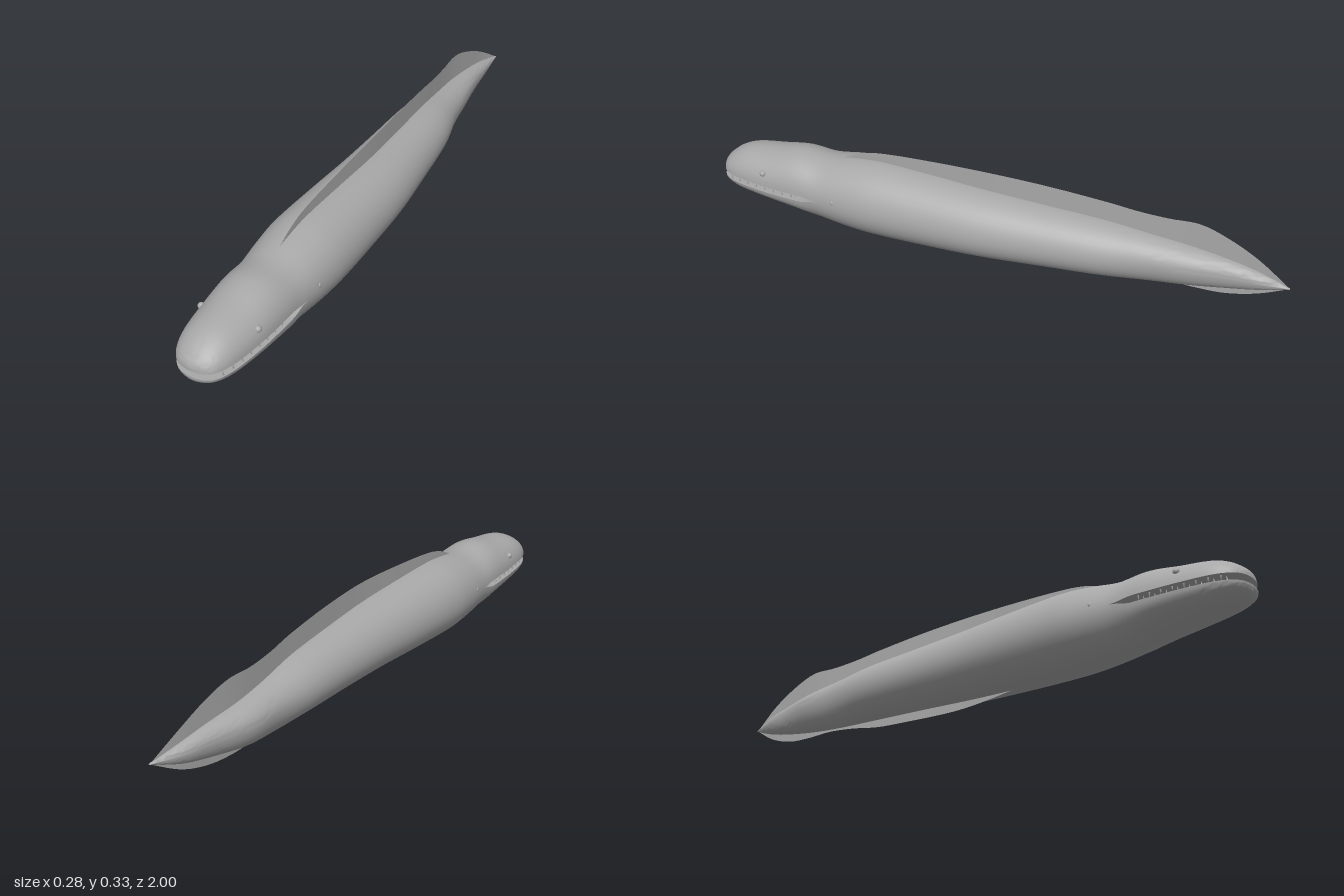
import * as THREE from 'three';
import { toCreasedNormals } from 'three/addons/utils/BufferGeometryUtils.js';

const AXIS = 0.14; // height of the body axis and the mouth line

// Outline stations: z, x of right side, x of left side, underside y, top y
const BODY = [
  [-1, -0.004, 0.002, 0.138, 0.142], [-0.9, -0.045, 0.009, 0.1, 0.165], [-0.8, -0.068, 0.016, 0.075, 0.182],
  [-0.67, -0.1, 0.035, 0.052, 0.197], [-0.55, -0.107, 0.053, 0.043, 0.212], [-0.4, -0.12, 0.09, 0.04, 0.235],
  [-0.2, -0.122, 0.115, 0.034, 0.25], [0, -0.126, 0.135, 0.025, 0.263], [0.2, -0.136, 0.14, 0.016, 0.273],
  [0.4, -0.143, 0.14, 0.011, 0.279], [0.5, -0.136, 0.132, 0.015, 0.27], [0.6, -0.125, 0.12, 0.026, 0.256],
  [0.7, -0.122, 0.116, 0.048, 0.263], [0.8, -0.115, 0.109, 0.063, 0.247], [0.9, -0.102, 0.094, 0.075, 0.232],
  [0.95, -0.086, 0.079, 0.086, 0.212], [0.98, -0.064, 0.06, 0.098, 0.19], [0.995, -0.038, 0.034, 0.108, 0.174],
  [1, -0.012, 0.01, 0.116, 0.162],
];
// Fin edges: z, y
const DORSAL = [[-1, 0.14], [-0.9, 0.205], [-0.8, 0.255], [-0.7, 0.286], [-0.6, 0.284], [-0.5, 0.291], [-0.4, 0.306],
  [-0.2, 0.325], [0, 0.333], [0.2, 0.327], [0.4, 0.312], [0.48, 0.292], [0.54, 0.263]];
const VENTRAL = [[-1, 0.14], [-0.9, 0.08], [-0.8, 0.047], [-0.7, 0.037], [-0.6, 0.038], [-0.5, 0.029], [-0.4, 0.013],
  [-0.3, 0.007], [-0.1, 0], [0, 0.004], [0.1, 0.013], [0.18, 0.022]];

// Smooth interpolation of every column of a station table
function sample(table, z) {
  let i = 0;
  while (i < table.length - 2 && table[i + 1][0] < z) i++;
  const a = table[i], b = table[i + 1];
  const p = table[Math.max(i - 1, 0)], q = table[Math.min(i + 2, table.length - 1)];
  const h = b[0] - a[0], t = THREE.MathUtils.clamp((z - a[0]) / h, 0, 1), t2 = t * t, t3 = t2 * t;
  return a.map((v, k) => {
    const m0 = (b[k] - p[k]) / (b[0] - p[0]) * h, m1 = (q[k] - v) / (q[0] - a[0]) * h;
    return (2 * t3 - 3 * t2 + 1) * v + (t3 - 2 * t2 + t) * m0 + (3 * t2 - 2 * t3) * b[k] + (t3 - t2) * m1;
  });
}

function station(z) {
  const [, r, l, bottom, top] = sample(BODY, z);
  return { cx: (l + r) / 2, rx: (l - r) / 2, bottom, top };
}

const mouthOpen = (z) => THREE.MathUtils.smoothstep(z, 0.59, 0.66);

function makeGeometry(pos, index) {
  const g = new THREE.BufferGeometry();
  g.setAttribute('position', new THREE.Float32BufferAttribute(pos, 3));
  g.setIndex(index);
  return g;
}

// Upper and lower halves of the body; they part in front to make the jaws
function bodyGeometry() {
  const rings = 110, arc = 20, n = arc + 1, pos = [], index = [];
  for (const side of [1, -1]) {
    const base = pos.length / 3;
    const open = [];
    for (let i = 0; i <= rings; i++) {
      const z = -Math.cos(Math.PI * i / rings);
      const s = station(z), g = mouthOpen(z);
      const lip = AXIS + g * (side > 0 ? 0.009 : -0.014);
      const height = side > 0 ? s.top - lip : lip - s.bottom;
      open.push(g > 0);
      for (let j = 0; j <= arc; j++) {
        const a = Math.PI * j / arc;
        pos.push(s.cx + side * s.rx * Math.cos(a), lip + side * height * Math.sin(a), z);
      }
    }
    for (let i = 0; i < rings; i++) {
      // The last strip closes each jaw with a flat palate or floor
      for (let j = 0; j < (open[i + 1] ? n : arc); j++) {
        const k = (j + 1) % n;
        const a = base + i * n + j, b = base + i * n + k;
        index.push(a, b, a + n, b, b + n, a + n);
      }
    }
    const tip = base + rings * n; // blunt snout end
    for (let j = 1; j < arc; j++) index.push(tip, tip + j, tip + j + 1);
  }
  return toCreasedNormals(makeGeometry(pos, index), 0.9);
}

// Thin fin following the bend of the body
function finGeometry(table, dorsal) {
  const steps = 60, pos = [], index = [];
  const z0 = table[0][0], z1 = table[table.length - 1][0];
  for (let i = 0; i <= steps; i++) {
    const z = z0 + (z1 - z0) * i / steps, s = station(z);
    const root = dorsal ? Math.max(AXIS, s.top - 0.02) : Math.min(AXIS, s.bottom + 0.02);
    pos.push(s.cx, root, z, s.cx, sample(table, z)[1], z);
    if (i < steps) index.push(2 * i, 2 * i + 1, 2 * i + 2, 2 * i + 1, 2 * i + 3, 2 * i + 2);
  }
  const g = makeGeometry(pos, index);
  g.computeVertexNormals();
  return g;
}

export function createModel() {
  const group = new THREE.Group();
  const skin = new THREE.MeshStandardMaterial({ color: 0xa8a8a8, side: THREE.DoubleSide });
  skin.name = 'grey skin';
  const add = (name, geometry, x = 0, y = 0, z = 0) => {
    const mesh = new THREE.Mesh(geometry, skin);
    mesh.name = name;
    mesh.position.set(x, y, z);
    group.add(mesh);
    return mesh;
  };

  add('body', bodyGeometry());
  add('dorsalFin', finGeometry(DORSAL, true));
  add('ventralFin', finGeometry(VENTRAL, false));

  const eye = new THREE.SphereGeometry(0.011, 16, 12);
  const gill = new THREE.SphereGeometry(0.008, 12, 8);
  const tooth = new THREE.ConeGeometry(0.004, 0.02, 6);
  for (const side of [1, -1]) {
    const label = side > 0 ? 'left' : 'right';
    // Surface point at a given height on the upper half
    const skinX = (z, y) => {
      const s = station(z);
      return s.cx + side * s.rx * Math.sqrt(1 - ((y - AXIS) / (s.top - AXIS)) ** 2);
    };
    add(label + 'Eye', eye, skinX(0.805, 0.193) + side * 0.002, 0.193, 0.805);
    add(label + 'GillOpening', gill, skinX(0.525, 0.157) - side * 0.004, 0.157, 0.525).scale.set(0.8, 1.2, 0.8);

    // Teeth in both jaws
    for (let i = 0; i < 8; i++) {
      const z = 0.68 + i * 0.036, s = station(z);
      const x = s.cx + side * (s.rx - 0.014);
      add(label + 'UpperTooth', tooth, x, 0.142, z).rotation.x = Math.PI;
      add(label + 'LowerTooth', tooth, x, 0.133, z + 0.018);
    }
  }
  return group;
}
